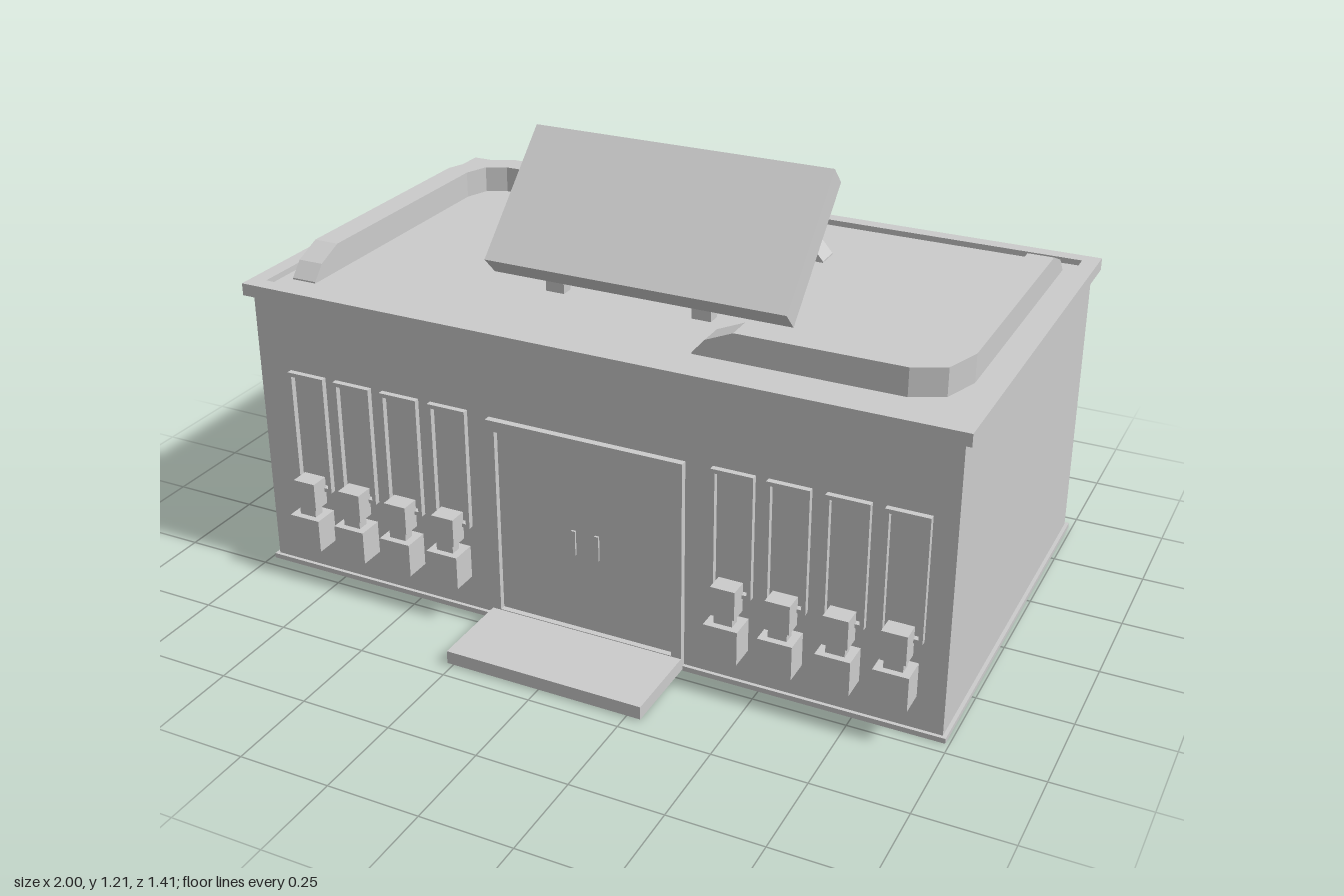
import * as THREE from 'three';

const grey = new THREE.MeshStandardMaterial({ color: 0xcccccc, flatShading: true, side: THREE.DoubleSide });

function mesh(geo, name, parent) {
  const m = new THREE.Mesh(geo, grey);
  m.name = name;
  parent.add(m);
  return m;
}

// Box given by its minimum and maximum on each axis
function box(parent, name, x0, x1, y0, y1, z0, z1) {
  const m = mesh(new THREE.BoxGeometry(x1 - x0, y1 - y0, z1 - z0), name, parent);
  m.position.set((x0 + x1) / 2, (y0 + y1) / 2, (z0 + z1) / 2);
  return m;
}

function rect(Type, x0, x1, y0, y1) {
  return new Type([[x0, y0], [x1, y0], [x1, y1], [x0, y1]].map(p => new THREE.Vector2(...p)));
}

// Rectangular frame: outer and inner are [x0, x1, y0, y1]
function frame(outer, inner, depth) {
  const s = rect(THREE.Shape, ...outer);
  s.holes.push(rect(THREE.Path, ...inner));
  return new THREE.ExtrudeGeometry(s, { depth, bevelEnabled: false });
}

// Frame lying flat, inner and outer in x and z
function flatFrame(outer, inner, y, height) {
  return frame(outer, inner, height).rotateX(Math.PI / 2).translate(0, y + height, 0);
}

// Rectangular roof duct along a path of [x, z], with ends stepping down to the roof
function duct(parent, name, path, width = 0.072) {
  const base = 0.82;
  let pts = path.map(p => new THREE.Vector2(...p));
  const towards = (a, b, d) => a.clone().add(b.clone().sub(a).setLength(d));
  const n = pts.length;
  const rings = [
    [pts[0], 0.83], [towards(pts[0], pts[1], 0.035), 0.87], [towards(pts[0], pts[1], 0.11), 0.902],
    ...pts.slice(1, -1).map(p => [p, 0.902]),
    [towards(pts[n - 1], pts[n - 2], 0.11), 0.902], [towards(pts[n - 1], pts[n - 2], 0.035), 0.87], [pts[n - 1], 0.83],
  ];
  const pos = [], idx = [];
  rings.forEach(([p, top], i) => {
    const a = i > 0 ? p.clone().sub(rings[i - 1][0]).normalize() : null;
    const b = i < rings.length - 1 ? rings[i + 1][0].clone().sub(p).normalize() : null;
    const dir = (a && b ? a.clone().add(b) : a || b).clone().normalize();
    const half = width / 2 / (a ? dir.dot(a) : 1);
    const sx = -dir.y * half, sz = dir.x * half;
    pos.push(p.x + sx, base, p.y + sz, p.x + sx, top, p.y + sz, p.x - sx, top, p.y - sz, p.x - sx, base, p.y - sz);
    if (i === 0) return;
    for (let k = 0; k < 4; k++) {
      const q = (i - 1) * 4, l = (k + 1) % 4;
      idx.push(q + k, q + 4 + k, q + l, q + l, q + 4 + k, q + 4 + l);
    }
  });
  const e = (rings.length - 1) * 4;
  idx.push(0, 1, 2, 0, 2, 3, e, e + 2, e + 1, e, e + 3, e + 2);
  const geo = new THREE.BufferGeometry();
  geo.setAttribute('position', new THREE.Float32BufferAttribute(pos, 3));
  geo.setIndex(idx);
  const flat = geo.toNonIndexed();
  flat.computeVertexNormals();
  mesh(flat, name, parent);
}

export function createModel() {
  const model = new THREE.Group();
  model.name = 'building';

  // Hollow walls, open underneath, with a doorway in the front
  const X = 0.98, ZB = -0.685, ZF = 0.455, H = 0.815;
  const front = rect(THREE.Shape, -X, X, 0, H);
  front.holes.push(rect(THREE.Path, -0.26, 0.285, 0.01, 0.595));
  mesh(new THREE.ShapeGeometry(front), 'frontWall', model).position.z = ZF;
  const back = mesh(new THREE.PlaneGeometry(2 * X, H), 'backWall', model);
  back.position.set(0, H / 2, ZB);
  back.rotation.y = Math.PI;
  for (const s of [-1, 1]) {
    const side = mesh(new THREE.PlaneGeometry(ZF - ZB, H), s > 0 ? 'leftWall' : 'rightWall', model);
    side.position.set(s * X, H / 2, (ZF + ZB) / 2);
    side.rotation.y = s * Math.PI / 2;
  }
  mesh(flatFrame([-0.99, 0.99, -0.695, 0.465], [-0.978, 0.978, -0.683, 0.453], 0, 0.014), 'baseTrim', model);

  // Roof slab with raised rim
  mesh(flatFrame([-1, 1, -0.705, 0.475], [-0.955, 0.955, -0.665, 0.43], 0.808, 0.034), 'roofRim', model);
  box(model, 'roofFloor', -0.957, 0.957, 0.808, 0.826, -0.667, 0.432);

  // Doorway, doors and entrance step
  const door = new THREE.Group();
  door.name = 'entrance';
  model.add(door);
  mesh(frame([-0.265, 0.29, 0.004, 0.6], [-0.24, 0.262, 0.042, 0.57], 0.025), 'doorFrame', door).position.z = 0.449;
  box(door, 'doorPanel', -0.241, 0.263, 0.041, 0.571, 0.45, 0.458);
  for (const x of [-0.022, 0.045]) box(door, 'doorHandle', x - 0.006, x + 0.006, 0.26, 0.33, 0.444, 0.464);
  box(door, 'step', -0.265, 0.29, 0.004, 0.04, 0.465, 0.705);

  // Framed window niches, each with a bust on a pedestal
  for (const x of [-0.825, -0.68, -0.533, -0.385, 0.42, 0.565, 0.715, 0.862]) {
    const bay = new THREE.Group();
    bay.name = 'windowBay';
    bay.position.x = x;
    model.add(bay);
    mesh(frame([-0.056, 0.056, 0.263, 0.605], [-0.045, 0.045, 0.274, 0.594], 0.016), 'windowFrame', bay).position.z = 0.455;
    box(bay, 'pedestal', -0.046, 0.046, 0.106, 0.2, ZF, 0.527);
    box(bay, 'bustNeck', -0.025, 0.025, 0.198, 0.23, 0.478, 0.509);
    box(bay, 'bustHead', -0.033, 0.033, 0.225, 0.305, 0.464, 0.516);
  }

  // Roof ducts
  duct(model, 'rightDuct', [[-0.885, 0.36], [-0.885, -0.42], [-0.853, -0.508], [-0.775, -0.545], [-0.255, -0.545]]);
  duct(model, 'leftDuct', [[0.245, 0.293], [0.79, 0.293], [0.852, 0.262], [0.88, 0.18], [0.88, -0.61]]);
  duct(model, 'shortDuct', [[-0.3, -0.412], [0.312, -0.412]]);

  // Tilted roof panel on two posts
  const panel = new THREE.Shape([[0.226, 0.925], [-0.066, 1.21], [-0.115, 1.16], [0.177, 0.875]].map(p => new THREE.Vector2(-p[0], p[1])));
  const panelGeo = new THREE.ExtrudeGeometry(panel, { depth: 0.85, bevelEnabled: false });
  panelGeo.rotateY(Math.PI / 2).translate(-0.4, 0, 0);
  mesh(panelGeo, 'roofPanel', model);
  for (const x of [-0.245, 0.18]) box(model, 'panelPost', x - 0.027, x + 0.027, 0.82, 0.955, 0.095, 0.132);

  return model;
}
